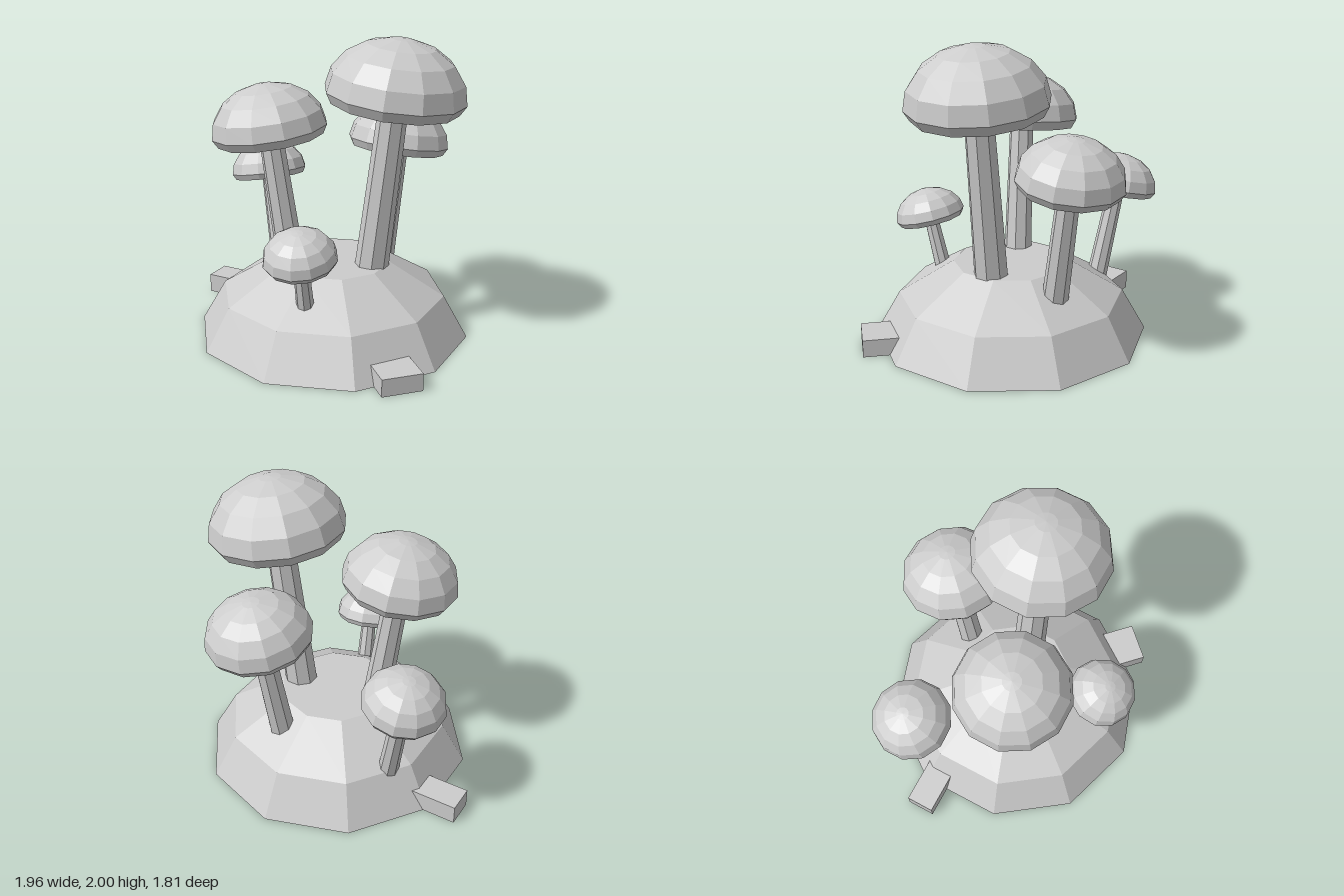
import * as THREE from 'three';

const grey = new THREE.MeshStandardMaterial({ color: 0xcccccc, flatShading: true });
grey.name = 'light grey';

function part(name, geometry) {
  const mesh = new THREE.Mesh(geometry, grey);
  mesh.name = name;
  return mesh;
}

// Faceted solid of revolution from [radius, height] pairs, listed bottom to top
function turned(profile, sides, start) {
  const points = profile.map(([r, y]) => new THREE.Vector2(r, y));
  return new THREE.LatheGeometry(points, sides, start);
}

// Mushroom whose cap underside is centred on `at`, leaning along `axis`;
// r is the half width of the cap across its flats
function mushroom(name, at, axis, r) {
  const group = new THREE.Group();
  group.name = name;
  const up = new THREE.Vector3(...axis).normalize();
  group.position.set(...at);
  group.quaternion.setFromUnitVectors(new THREE.Vector3(0, 1, 0), up);

  // Cap: flat underside, bevelled rim, five-step dome
  const R = r / Math.cos(Math.PI / 12);
  const profile = [[0, 0], [R * 0.915, 0]];
  for (const deg of [0, 20, 41, 61, 81]) {
    const a = THREE.MathUtils.degToRad(deg);
    profile.push([R * Math.cos(a), r * (0.155 + 0.82 * Math.sin(a))]);
  }
  profile.push([0, r * 0.98]);
  group.add(part(name + 'Cap', turned(profile, 12, Math.PI / 12)));

  // Stem: octagonal, sunk into the mound
  const length = (at[1] - 0.22) / up.y;
  const top = r * 0.1;
  const stem = new THREE.CylinderGeometry(r * 0.215, r * 0.265, length + top, 8, 1, false, Math.PI / 8);
  stem.translate(0, (top - length) / 2, 0);
  group.add(part(name + 'Stem', stem));
  return group;
}

// Block with its outer face centred on (x, z), running inwards along its own -x
function rock(name, x, z, yaw, length, height, width) {
  const geometry = new THREE.BoxGeometry(length, height, width);
  geometry.translate(-length / 2, height / 2, 0);
  const mesh = part(name, geometry);
  mesh.position.set(x, 0, z);
  mesh.rotation.y = yaw;
  return mesh;
}

export function createModel() {
  const model = new THREE.Group();
  model.name = 'mushroomCluster';

  // Ten-sided mound with a flat top
  const mound = part('mound', turned(
    [[0, 0], [0.905, 0], [0.745, 0.28], [0.38, 0.5], [0, 0.5]], 10, 0));
  mound.position.x = 0.09;
  model.add(mound);

  // Rocks at the foot of the mound
  model.add(rock('rightRock', -0.98, -0.205, Math.PI, 0.38, 0.13, 0.19));
  model.add(rock('leftRock', 0.882, 0.625, -0.78, 0.36, 0.115, 0.265));

  // Mushrooms, tallest first
  model.add(mushroom('tallMushroom', [0.488, 1.572, -0.045], [0.117, 1, -0.01], 0.434));
  model.add(mushroom('frontMushroom', [-0.275, 1.32, 0.165], [-0.132, 1, 0.055], 0.368));
  model.add(mushroom('backMushroom', [0.29, 1.142, -0.568], [0.06, 1, -0.16], 0.332));
  model.add(mushroom('sideMushroom', [-0.62, 0.872, -0.385], [-0.2, 1, -0.11], 0.26));
  model.add(mushroom('smallMushroom', [0.18, 0.69, 0.598], [0.04, 1, 0.25], 0.226));

  return model;
}
